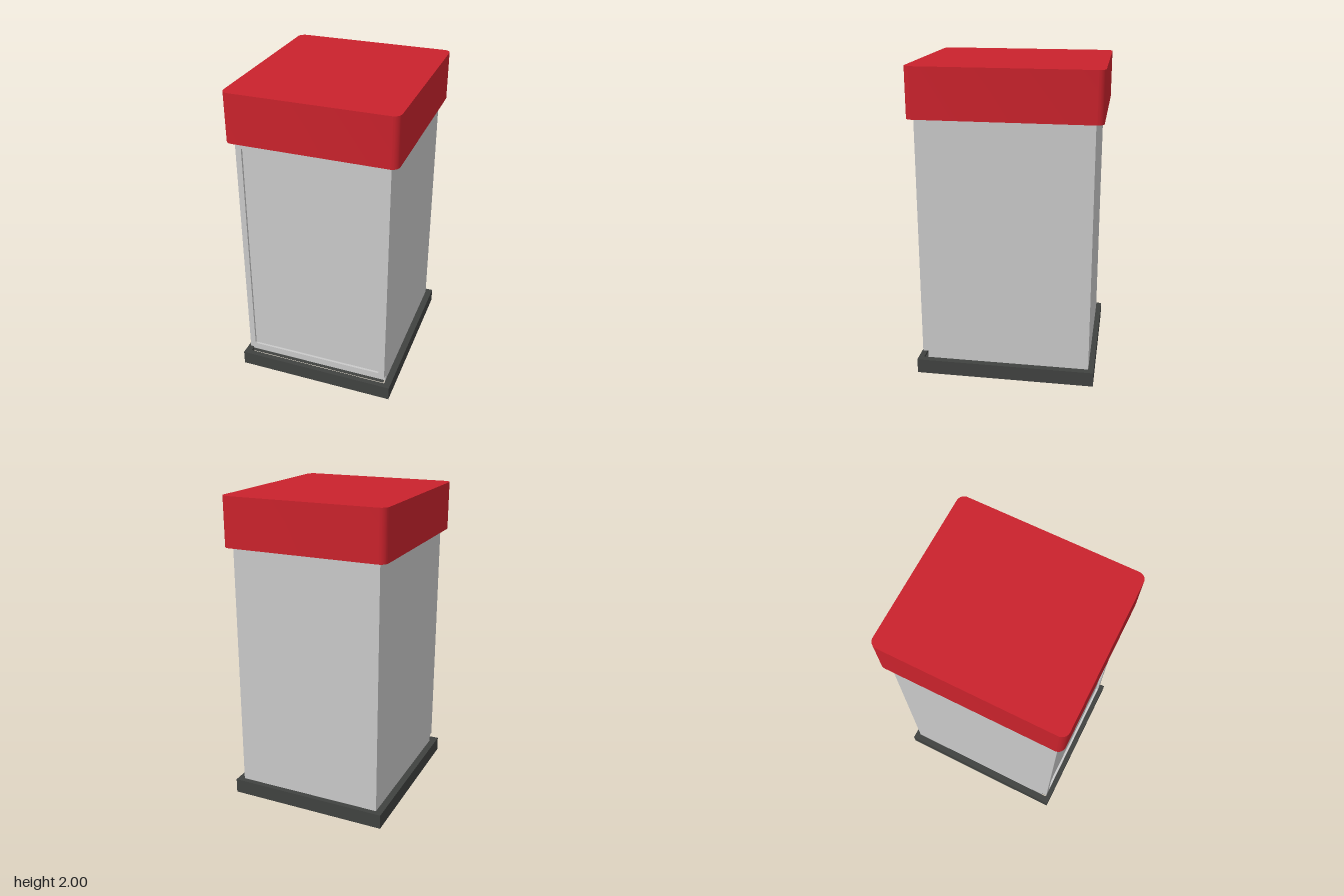
import * as THREE from 'three';
import { toCreasedNormals } from 'three/addons/utils/BufferGeometryUtils.js';

// Rounded rectangle outline between two corners
function roundedRect(x0, y0, x1, y1, r, Type = THREE.Shape) {
  const s = new Type();
  s.moveTo(x0 + r, y0);
  s.lineTo(x1 - r, y0);
  s.absarc(x1 - r, y0 + r, r, -Math.PI / 2, 0);
  s.lineTo(x1, y1 - r);
  s.absarc(x1 - r, y1 - r, r, 0, Math.PI / 2);
  s.lineTo(x0 + r, y1);
  s.absarc(x0 + r, y1 - r, r, Math.PI / 2, Math.PI);
  s.lineTo(x0, y0 + r);
  s.absarc(x0 + r, y0 + r, r, Math.PI, Math.PI * 1.5);
  return s;
}

function rect(hx, hz, Type = THREE.Shape) {
  return new Type([[-hx, -hz], [hx, -hz], [hx, hz], [-hx, hz]].map(p => new THREE.Vector2(...p)));
}

function extrude(shape, depth, curveSegments = 6) {
  return new THREE.ExtrudeGeometry(shape, { depth, curveSegments, bevelEnabled: false });
}

export function createModel() {
  const model = new THREE.Group();
  model.name = 'cabinet';

  const material = (name, color) => {
    const m = new THREE.MeshStandardMaterial({ color });
    m.name = name;
    return m;
  };
  const grey = material('light grey', 0xc9c9c9);
  const red = material('red', 0xc9222c);
  const dark = material('charcoal', 0x404240);

  const add = (name, geometry, mat) => {
    const mesh = new THREE.Mesh(geometry, mat);
    mesh.name = name;
    model.add(mesh);
    return mesh;
  };

  // Base: a thin-walled tray, open underneath
  const rim = rect(0.523, 0.575);
  rim.holes.push(rect(0.519, 0.571, THREE.Path));
  add('baseRim', extrude(rim, 0.095).rotateX(-Math.PI / 2), dark);

  const flange = rect(0.521, 0.573);
  flange.holes.push(rect(0.48, 0.54, THREE.Path));
  add('baseTop', extrude(flange, 0.004).rotateX(-Math.PI / 2).translate(0, 0.091, 0), dark);

  // Floor plate, leaving a narrow gap to the flange
  add('floorPlate', new THREE.BoxGeometry(0.944, 0.004, 1.064).translate(0, 0.093, 0), dark);

  // Body: side profile with a toe notch at the front, swept across the width
  const profile = new THREE.Shape([
    [-0.54, 0.095], [0.51, 0.095], [0.51, 0.14], [0.53, 0.14], [0.53, 1.69], [-0.54, 1.69],
  ].map(p => new THREE.Vector2(...p)));
  add('body', extrude(profile, 0.96).rotateY(-Math.PI / 2).translate(0.48, 0, 0), grey);

  // Front frame around the recessed panel
  const frame = roundedRect(-0.48, 0.14, 0.48, 1.69, 0.001);
  frame.holes.push(roundedRect(-0.443, 0.175, 0.443, 1.647, 0.012, THREE.Path));
  add('frontFrame', extrude(frame, 0.015, 3).translate(0, 0, 0.53), grey);

  // Lid with rounded vertical corners
  const lid = extrude(roundedRect(-0.528, -0.587, 0.528, 0.587, 0.047), 0.312);
  lid.rotateX(-Math.PI / 2).translate(0, 1.688, 0);
  add('lid', toCreasedNormals(lid, Math.PI / 5), red);

  return model;
}
